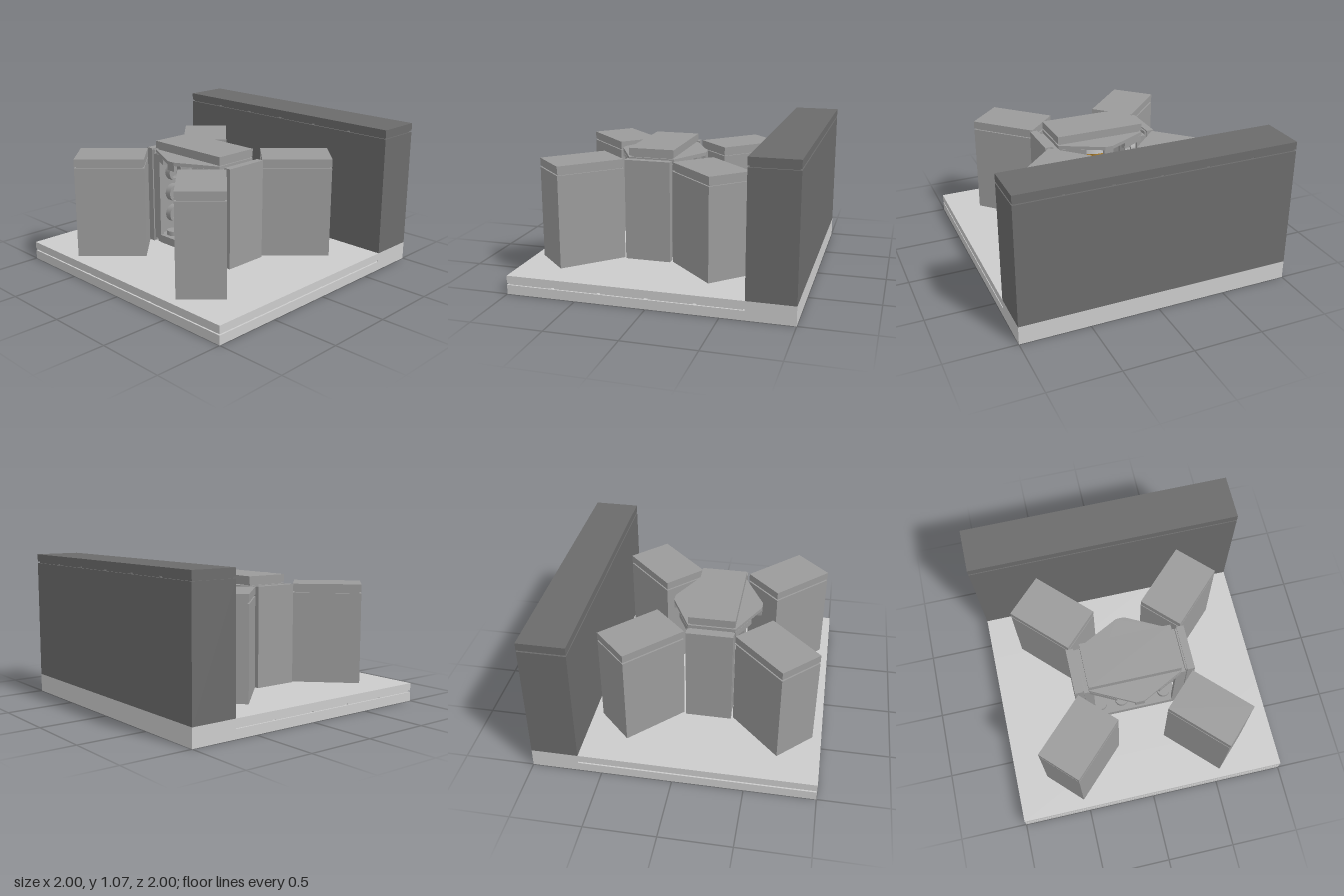
import * as THREE from 'three';
import { toCreasedNormals } from 'three/addons/utils/BufferGeometryUtils.js';

const U = 1 / 6;    // grid pitch
const H = U * 0.4;  // plate height
const CZ = U;       // z of the central shrine
const paint = (color) => new THREE.MeshStandardMaterial({ color });
const LIGHT = paint(0xcccccc);
const MID = paint(0x9b9b9b);
const DARK = paint(0x6b6b6b);
const GOLD = paint(0xb5852f);

function add(parent, name, geometry, material, x = 0, y = 0, z = 0) {
  const mesh = new THREE.Mesh(geometry, material);
  mesh.name = name;
  mesh.position.set(x, y, z);
  parent.add(mesh);
  return mesh;
}

function group(parent, name, x = 0, y = 0, z = 0) {
  const g = new THREE.Group();
  g.name = name;
  g.position.set(x, y, z);
  parent.add(g);
  return g;
}

// box standing on its y position
const block = (w, h, d) => new THREE.BoxGeometry(w, h, d).translate(0, h / 2, 0);

// turned solid from [radius, height] pairs, with crisp edges
const turned = (points, sides = 24) => toCreasedNormals(
  new THREE.LatheGeometry(points.map(([r, y]) => new THREE.Vector2(r, y)), sides), 0.6);

const tubeGeo = turned([[0.068, 0], [0.068, 0.05], [0.05, 0.05], [0.05, 0], [0.068, 0]], 20);
const studGeo = turned([[0.05, 0], [0.05, 0.034], [0, 0.034]], 20);

// upright extrusion of a plan outline given in x, z
function slab(points, h, hole) {
  const toShape = (p) => p.map(([x, z]) => new THREE.Vector2(x, -z));
  const shape = new THREE.Shape(toShape(points));
  if (hole) shape.holes.push(new THREE.Path(toShape(hole)));
  return new THREE.ExtrudeGeometry(shape, { depth: h, bevelEnabled: false }).rotateX(-Math.PI / 2);
}
const rect = (w, d) => [[-w / 2, -d / 2], [w / 2, -d / 2], [w / 2, d / 2], [-w / 2, d / 2]];

// hollow plate with tubes underneath
function plate(parent, name, nx, nz, material, x, y, z) {
  const g = group(parent, name, x, y, z);
  const w = nx * U, d = nz * U;
  add(g, 'rim', slab(rect(w, d), 0.05, rect(w - 0.06, d - 0.06)), material);
  add(g, 'deck', block(w, H - 0.05, d), material, 0, 0.05, 0);
  for (let i = 1; i < nx; i++)
    for (let j = 1; j < nz; j++)
      add(g, 'tube', tubeGeo, material, i * U - w / 2, 0, j * U - d / 2);
  return g;
}

// smooth tile with a narrow groove round its foot
function tile(parent, name, nx, nz, material, x, y, z) {
  const g = group(parent, name, x, y, z);
  add(g, 'foot', block(nx * U - 0.025, 0.012, nz * U - 0.025), material);
  add(g, 'cap', block(nx * U, H - 0.012, nz * U), material, 0, 0.012, 0);
  return g;
}

function buildBase(root) {
  const base = group(root, 'base');
  for (const s of [-1, 1]) plate(base, 'basePlate', 6, 12, LIGHT, s * 0.5, 0, 0);
  for (let i = -1; i <= 1; i++)
    for (let j = 0; j < 5; j++)
      tile(base, 'floorTile', 4, 2, LIGHT, i * 4 * U, H, 1 - U - j * 2 * U);
  add(base, 'wallFooting', block(2, H, 2 * U), LIGHT, 0, H, -1 + U);
}

function buildWall(root) {
  const wall = group(root, 'backWall', 0, 0, -1 + U);
  add(wall, 'wallBody', block(2, 13 * H, 2 * U), DARK, 0, 2 * H, 0);
  for (let i = 0; i < 6; i++)
    tile(wall, 'wallTile', 2, 2, DARK, -1 + U + i * 2 * U, 15 * H, 0);
}

function buildPillars(root) {
  for (const sx of [-1, 1])
    for (const sz of [-1, 1]) {
      const pillar = group(root, 'pillar', sx * 0.472, 0, CZ + sz * 0.475);
      pillar.rotation.y = -sx * sz * Math.PI / 4;
      add(pillar, 'pillarBody', block(3 * U, 10 * H, 2 * U), MID, 0, 2 * H, 0);
      tile(pillar, 'pillarTile', 3, 2, MID, 0, 12 * H, 0);
    }
}

function buildSidePanels(shrine) {
  for (const s of [-1, 1]) {
    // a hollow plate and a tile on edge, underside facing inward
    const side = group(shrine, 'sidePanel', s * 4.5 * H, 7.5 * H, 0);
    side.rotation.z = -s * Math.PI / 2;
    plate(side, 'panelPlate', 4, 2, MID, 0, 0, 0);
    add(side, 'panelGroove', block(11 * H - 0.02, 0.012, 2 * U - 0.02), MID, 0, H, 0);
    add(side, 'panelFace', block(11 * H, H - 0.012, 2 * U), MID, 0, H + 0.012, 0);
  }
}

function buildCanopy(shrine) {
  const canopy = group(shrine, 'canopy', 0, 12 * H, 0);
  const half = [[0.333, 0.167], [0.03, 0.322], [-0.03, 0.322], [-0.333, 0.167]];
  const outline = [...half, ...half.map(([x, z]) => [-x, -z])];
  add(canopy, 'canopyDeck', slab(outline, 0.025), MID, 0, H - 0.025, 0);
  for (const sz of [-1, 1]) {
    add(canopy, 'canopyTip', block(0.07, 0.042, 0.03), MID, 0, 0, sz * 0.306);
    for (const sx of [-1, 1]) {
      // rim along each slanted edge, open near the tip
      const rim = add(canopy, 'canopyRim', block(0.2, 0.042, 0.03), MID, sx * 0.235, 0, sz * 0.202);
      rim.rotation.y = sx * sz * Math.atan2(0.155, 0.303);
    }
  }
  tile(canopy, 'roofTile', 4, 2, MID, 0, H, 0);
}

function buildFloor(shrine) {
  const floor = group(shrine, 'shrineFloor', 0, 2 * H, 0);
  tile(floor, 'floorPlate', 4, 2, MID, 0, 0, 0);
  for (let i = 0; i < 4; i++)
    for (const s of [-1, 1])
      add(floor, 'floorStud', studGeo, MID, (i - 1.5) * U, H, s * U / 2);
}

// ribbed gold rod with a collar at the foot and a clawed head
function rod(parent, x, z, flipped) {
  const g = group(parent, 'goldRod', x, 0.615, z);
  if (flipped) g.rotation.z = Math.PI;
  const foot = flipped ? -0.13 : -0.15;
  add(g, 'rodBody', turned([
    [0, foot], [0.06, foot], [0.06, -0.11], [0.035, -0.11], [0.035, -0.09],
    [0.045, -0.085], [0.045, -0.07], [0.033, -0.068], [0.033, -0.055],
    [0.042, -0.052], [0.042, -0.037], [0.031, -0.035], [0.031, 0.085],
    [0.045, 0.09], [0.045, 0.125], [0, 0.125]]), GOLD);
  for (const s of [-1, 1])
    add(g, 'rodClaw', block(0.024, 0.06, 0.06), GOLD, s * 0.042, 0.095, 0);
}

function buildCore(shrine) {
  const core = group(shrine, 'energyCore');
  const disc = turned([[0, 0], [0.13, 0], [0.13, 0.012], [0.16, 0.012], [0.16, H], [0, H]], 32);
  add(core, 'lowerDisc', disc, LIGHT, 0, 6 * H, 0);
  add(core, 'upperDisc', disc, LIGHT, 0, 11 * H, 0);
  for (const sx of [-1, 1])
    for (const sz of [-1, 1]) {
      add(core, 'upperStud', turned([[0.05, 0], [0.05, 0.045], [0, 0.045]], 20), LIGHT,
        sx * U / 2, 12 * H, sz * U / 2);
      add(core, 'lowerLug', block(0.06, 0.03, 0.06), LIGHT, sx * 0.08, 6 * H - 0.03, sz * 0.08);
    }
  for (const s of [-1, 1]) {
    rod(core, s * 0.088, 0, false);
    rod(core, 0, s * 0.088, true);
  }
  add(core, 'goldSocket', turned([
    [0, 0.27], [0.083, 0.27], [0.083, 0.325], [0.076, 0.33], [0.076, 0.345],
    [0.083, 0.35], [0.083, 0.365], [0.06, 0.372], [0.06, 0.4], [0, 0.4]], 28), GOLD);
}

export function createModel() {
  const root = new THREE.Group();
  root.name = 'shrineScene';
  buildBase(root);
  buildWall(root);
  buildPillars(root);
  const shrine = group(root, 'shrine', 0, 0, CZ);
  buildSidePanels(shrine);
  buildCanopy(shrine);
  buildFloor(shrine);
  buildCore(shrine);
  return root;
}
